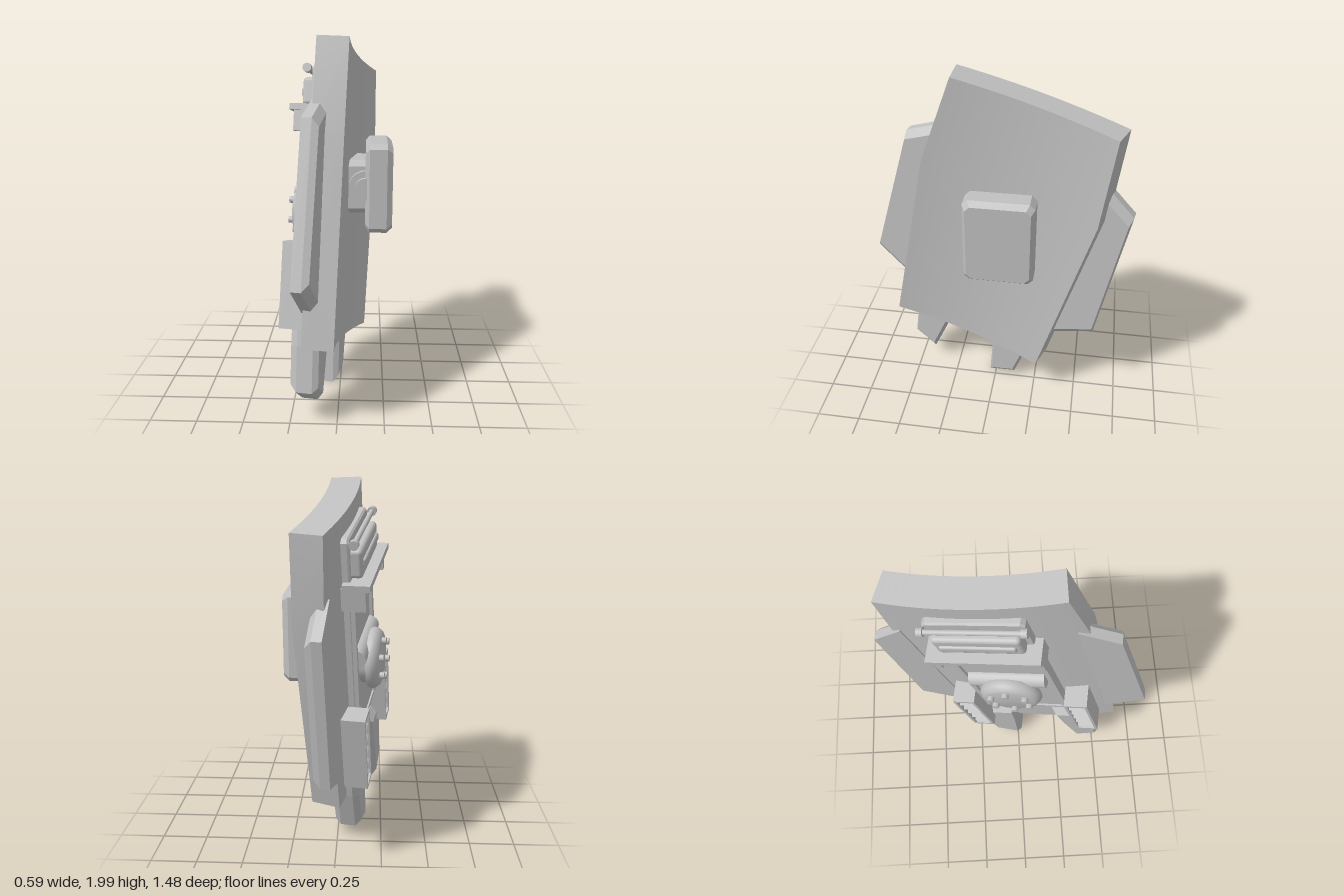
import * as THREE from 'three';
import { ConvexGeometry } from 'three/addons/geometries/ConvexGeometry.js';
import { RoundedBoxGeometry } from 'three/addons/geometries/RoundedBoxGeometry.js';
import { toCreasedNormals } from 'three/addons/utils/BufferGeometryUtils.js';

const grey = new THREE.MeshStandardMaterial({ color: 0xc0c0c0 });
grey.name = 'grey';

function add(parent, name, geometry) {
  const mesh = new THREE.Mesh(geometry, grey);
  mesh.name = name;
  parent.add(mesh);
  return mesh;
}

// Box given by its ranges along x, y and z
function box(parent, name, [x0, x1], [y0, y1], [z0, z1]) {
  const mesh = add(parent, name, new THREE.BoxGeometry(x1 - x0, y1 - y0, z1 - z0));
  mesh.position.set((x0 + x1) / 2, (y0 + y1) / 2, (z0 + z1) / 2);
  return mesh;
}

// Bevelled plate: a convex (z, y) outline stacked along x in layers [x, scale]
function plate(parent, name, outline, layers, side = 1) {
  const n = outline.length;
  const cz = outline.reduce((s, p) => s + p[0], 0) / n;
  const cy = outline.reduce((s, p) => s + p[1], 0) / n;
  const points = [];
  for (const [x, s] of layers)
    for (const [z, y] of outline)
      points.push(new THREE.Vector3(x, cy + (y - cy) * s, side * (cz + (z - cz) * s)));
  return add(parent, name, new ConvexGeometry(points));
}

// Rectangle outline with cut corners
function cutRect(z0, z1, y0, y1, c) {
  return [[z0 + c, y0], [z1 - c, y0], [z1, y0 + c], [z1, y1 - c],
    [z1 - c, y1], [z0 + c, y1], [z0, y1 - c], [z0, y0 + c]];
}

// Curved slab: an arc in plan, widest above its middle
function slabGeometry() {
  const g = new THREE.BoxGeometry(1, 1, 1, 1, 2, 24);
  const p = g.attributes.position;
  const R = 2.7, T = 0.165, sag = 0.041;
  for (let i = 0; i < p.count; i++) {
    const level = Math.round(p.getY(i) * 2);
    const half = [0.455, 0.495, 0.437][level + 1];
    const y = [-0.782, 0.295, 0.787][level + 1];
    const r = R + (p.getX(i) < 0 ? T : 0);
    const a = p.getZ(i) * 2 * half / R;
    p.setXYZ(i, R - sag - r * Math.cos(a), y, r * Math.sin(a));
  }
  g.computeVertexNormals();
  return g;
}

// Louvred vent box
function vent(parent, name, z) {
  const g = new THREE.Group();
  g.name = name;
  parent.add(g);
  const h = 0.065, y0 = -0.7, y1 = -0.25;
  box(g, 'ventBack', [-0.24, -0.17], [y0, y1], [z - h, z + h]);
  for (const s of [-1, 1])
    box(g, 'ventWall', [-0.31, -0.24], [y0, y1], [z + s * (h - 0.008) - 0.008, z + s * (h - 0.008) + 0.008]);
  box(g, 'ventBottom', [-0.31, -0.24], [y0, y0 + 0.02], [z - h, z + h]);
  box(g, 'ventTop', [-0.31, -0.24], [y1 - 0.02, y1], [z - h, z + h]);
  for (let i = 0; i < 5; i++) {
    const louvre = add(g, 'louvre', new THREE.BoxGeometry(0.085, 0.012, 2 * h - 0.03));
    louvre.position.set(-0.268, y0 + 0.065 + i * 0.08, z);
    louvre.rotation.z = 0.7;
  }
}

// Round hub with a ring of bolts
function hub(parent) {
  const g = new THREE.Group();
  g.name = 'hub';
  g.position.set(0, -0.09, 0);
  parent.add(g);
  const profile = [[0.14, 0.2], [0.14, 0.27], [0.165, 0.275], [0.172, 0.295], [0.165, 0.315],
    [0.148, 0.335], [0.13, 0.342], [0, 0.342]].map(([r, y]) => new THREE.Vector2(r, y));
  add(g, 'hubDisc', toCreasedNormals(new THREE.LatheGeometry(profile, 40).rotateZ(Math.PI / 2), 0.8));
  for (let i = 0; i < 6; i++) {
    const a = (i + 0.5) * Math.PI / 3;
    const bolt = add(g, 'bolt', new THREE.CylinderGeometry(0.019, 0.019, 0.04, 14).rotateZ(Math.PI / 2));
    bolt.position.set(-0.346, 0.11 * Math.sin(a), 0.11 * Math.cos(a));
  }
}

// Rod along z
function rod(parent, name, r, length, x, y, z = 0) {
  const mesh = add(parent, name, new THREE.CylinderGeometry(r, r, length, 20).rotateX(Math.PI / 2));
  mesh.position.set(x, y, z);
  return mesh;
}

export function createModel() {
  const model = new THREE.Group();
  model.name = 'model';

  // Tilted body: x points out of the hollow face, y up the slab, z to its front edge
  const body = new THREE.Group();
  body.name = 'body';
  const z = new THREE.Vector3(-0.165, 0.24, 0.957).normalize();
  const x = new THREE.Vector3(0.042, 0.97, -0.243).cross(z).normalize();
  const y = z.clone().cross(x);
  body.quaternion.setFromRotationMatrix(new THREE.Matrix4().makeBasis(x, y, z));
  body.position.set(0.0975, 1.13, -0.015);
  model.add(body);

  add(body, 'slab', slabGeometry());

  // Wings, legs and vents on both edges
  const wing = [[0.45, 0.473], [0.645, 0.354], [0.69, -0.47], [0.45, -0.603]];
  const leg = [[0.12, -0.6], [0.14, -0.79], [0.194, -1.104], [0.343, -1.037], [0.37, -0.79], [0.375, -0.6]];
  for (const s of [-1, 1]) {
    const label = s > 0 ? 'front' : 'back';
    plate(body, label + 'Wing', wing, [[-0.178, 1], [-0.125, 1], [-0.09, 0.9]], s);
    plate(body, label + 'Leg', leg, [[-0.25, 0.82], [-0.215, 1], [-0.13, 1], [-0.1, 0.85]], s);
    vent(body, label + 'Vent', s * 0.33);
  }

  // Equipment panel on the bulging face
  plate(body, 'panel', cutRect(-0.25, 0.25, -0.48, 0.69, 0.02), [[-0.15, 1], [-0.225, 1], [-0.235, 0.985]]);
  for (const s of [-1, 1]) {
    box(body, 'panelRail', [-0.252, -0.2], [-0.47, 0.36], [s * 0.235 - 0.013, s * 0.235 + 0.013]);
    box(body, 'shelfBracket', [-0.315, -0.19], [0.33, 0.45], [s * 0.265 - 0.02, s * 0.265 + 0.02]);
    rod(body, 'rodEnd', 0.024, 0.03, -0.262, 0.665, s * 0.25);
  }
  box(body, 'panelSill', [-0.245, -0.2], [-0.478, -0.455], [-0.235, 0.235]);
  rod(body, 'topRod', 0.014, 0.52, -0.262, 0.665);

  // Shelf with rail and rounded case above it
  box(body, 'shelf', [-0.34, -0.2], [0.44, 0.472], [-0.29, 0.29]);
  box(body, 'shelfRail', [-0.3, -0.27], [0.345, 0.375], [-0.26, 0.26]);
  box(body, 'shelfBack', [-0.26, -0.2], [0.335, 0.45], [-0.25, 0.25]);
  const lid = add(body, 'case', new RoundedBoxGeometry(0.075, 0.15, 0.44, 3, 0.022));
  lid.position.set(-0.255, 0.55, 0);
  const ridge = add(body, 'caseRidge', new RoundedBoxGeometry(0.03, 0.045, 0.38, 3, 0.012));
  ridge.position.set(-0.29, 0.55, 0);

  // Hub and its cross arm
  rod(body, 'hubArm', 0.055, 0.42, -0.235, 0.01);
  hub(body);

  // Upright pad on the hollow face
  plate(model, 'pad', cutRect(-0.242, 0.132, 0.955, 1.445, 0.028),
    [[0.138, 0.9], [0.16, 1], [0.255, 1], [0.285, 0.9]]);
  plate(model, 'padMount', cutRect(-0.22, 0.06, 1.05, 1.345, 0.03), [[0.03, 1], [0.15, 1]]);
  rod(model, 'padHinge', 0.095, 0.32, 0.14, 1.2, -0.07);
  rod(model, 'padPin', 0.06, 0.34, 0.14, 1.2, -0.05);

  return model;
}
